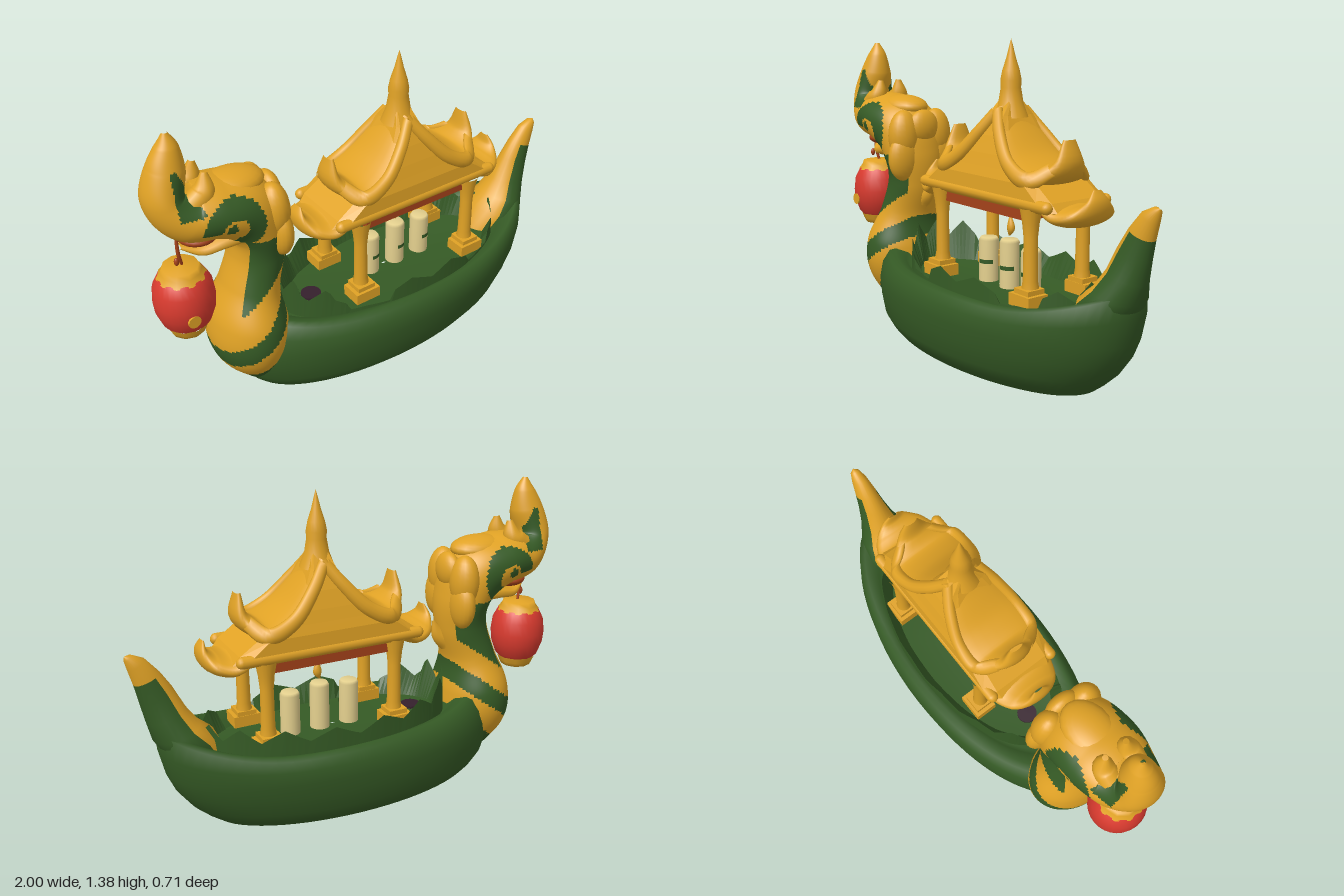
import * as THREE from 'three';

const mat = (name, color, side = THREE.FrontSide) => {
  const m = new THREE.MeshStandardMaterial({ color, side });
  m.name = name;
  return m;
};

// Skins a stack of closed rings; pick(x, y, z, i, j) chooses a material index per quad.
function loft(rings, pick = () => 0) {
  const n = rings[0].length, lists = [[], []];
  for (let i = 0; i < rings.length - 1; i++) {
    for (let j = 0; j < n; j++) {
      const k = (j + 1) % n, a = i * n + j, b = i * n + k, c = b + n, d = a + n;
      const p = rings[i][j], q = rings[i + 1][k];
      const m = pick((p[0] + q[0]) / 2, (p[1] + q[1]) / 2, (p[2] + q[2]) / 2, i, j);
      lists[m].push(a, d, b, d, c, b);
    }
  }
  const g = new THREE.BufferGeometry();
  g.setAttribute('position', new THREE.Float32BufferAttribute(rings.flat(2), 3));
  g.setIndex(lists[0].concat(lists[1]));
  g.addGroup(0, lists[0].length, 0);
  g.addGroup(lists[0].length, lists[1].length, 1);
  g.computeVertexNormals();
  return g;
}

// Rings along a curve; each point is [x, y, z, radius in the xy plane, radius in z].
function sweep(pts, steps = 20, sides = 12) {
  const path = new THREE.CatmullRomCurve3(pts.map(p => new THREE.Vector3(p[0], p[1], p[2])));
  const size = new THREE.CatmullRomCurve3(pts.map(p => new THREE.Vector3(p[3], p[4], 0)), false, 'catmullrom');
  const rings = [];
  for (let i = 0; i <= steps; i++) {
    const c = path.getPoint(i / steps), t = path.getTangent(i / steps), r = size.getPoint(i / steps);
    const l = Math.hypot(t.x, t.y) || 1, nx = t.y / l, ny = -t.x / l;
    const ring = [];
    for (let j = 0; j < sides; j++) {
      const a = (j / sides) * Math.PI * 2, u = Math.max(r.x, 0.003) * Math.cos(a);
      ring.push([c.x + nx * u, c.y + ny * u, c.z + Math.max(r.y, 0.003) * Math.sin(a)]);
    }
    rings.push(ring);
  }
  return rings;
}

export function createModel() {
  const gold = mat('gold', 0xe0a225), green = mat('deep green', 0x355a25);
  const red = mat('lantern red', 0xd83a2e), rust = mat('rust red', 0xa5421a);
  const cream = mat('candle cream', 0xe4d08e), dark = mat('dark plum', 0x35202c);
  const greenLeaf = mat('leaf green', 0x355a25, THREE.DoubleSide);
  const root = new THREE.Group();
  root.name = 'dragonBoat';
  const add = (name, geo, material, x = 0, y = 0, z = 0, parent = root) => {
    const m = new THREE.Mesh(geo, material);
    m.name = name;
    m.position.set(x, y, z);
    parent.add(m);
    return m;
  };
  const ball = (name, material, p, s) => add(name, new THREE.SphereGeometry(1, 20, 14), material, ...p).scale.set(...s);

  // Hull: plan ellipses stacked upward, over the rim and down to the deck: [y, xMin, xMax, halfWidth, lift]
  const slices = [
    [0, 0.03, 0.04, 0.004, 0], [0, -0.57, 0.64, 0.24, 0], [0.012, -0.59, 0.67, 0.265, 0], [0.05, -0.625, 0.72, 0.3, 0],
    [0.1, -0.66, 0.775, 0.33, 0], [0.18, -0.685, 0.835, 0.343, 0], [0.25, -0.69, 0.87, 0.353, 0.1],
    [0.31, -0.67, 0.895, 0.348, 0.5], [0.35, -0.63, 0.9, 0.325, 1], [0.362, -0.59, 0.87, 0.3, 1],
    [0.35, -0.51, 0.77, 0.27, 0.8], [0.33, -0.47, 0.72, 0.25, 0], [0.33, 0.1, 0.12, 0.004, 0]];
  add('hull', loft(slices.map(([y, x0, x1, w, lift]) => Array.from({ length: 64 }, (_, j) => {
    const a = (j / 64) * Math.PI * 2, x = (x0 + x1) / 2 + ((x1 - x0) / 2) * Math.cos(a);
    const rise = 0.1 * Math.max(0, (x - 0.35) / 0.5) ** 2 + 0.05 * Math.max(0, (-x - 0.2) / 0.4) ** 2;
    return [x, y + lift * rise, w * Math.sin(a)];
  }))), green);

  // Ragged ring of leaves inside the rim, dipping beside the front columns
  const leafRing = (grow, top) => Array.from({ length: 128 }, (_, j) => {
    const a = (j / 128) * Math.PI * 2, c = Math.cos(a), s = Math.sin(a), x = 0.14 + 0.56 * c;
    const saw = 1 - Math.abs(((j % 8) - 3) / 4.5);
    const dip = Math.min(Math.abs(x + 0.13), Math.abs(x - 0.47)) < 0.09;
    let h = s > 0.3 ? (dip ? 0.01 : 0.08) : 0.085 + 0.03 * Math.abs(c);
    if (c < -0.75) h += 0.03;
    return [x + grow * c, top ? 0.355 + h * (0.5 + 0.6 * saw) : 0.32, (0.265 + grow) * s];
  });
  add('leafRing', loft([leafRing(0.02, false), leafRing(0.015, true), leafRing(-0.03, false)]).toNonIndexed(), greenLeaf)
    .geometry.computeVertexNormals();
  add('bowCushion', new THREE.CylinderGeometry(0.045, 0.045, 0.01, 24), dark, -0.29, 0.338, 0);

  // Stern tail: [inner x, inner y, outer x, outer y, halfWidth]; gold inner face and tip
  const tail = [[0.6, 0.3, 0.78, 0.26, 0.1], [0.66, 0.43, 0.875, 0.36, 0.14], [0.72, 0.48, 0.915, 0.43, 0.115],
    [0.77, 0.55, 0.935, 0.51, 0.08], [0.82, 0.65, 0.955, 0.6, 0.058], [0.865, 0.72, 0.972, 0.68, 0.046],
    [0.92, 0.785, 0.99, 0.745, 0.034], [0.97, 0.808, 1.0, 0.785, 0.02], [0.994, 0.806, 0.998, 0.802, 0.003]];
  add('sternTail', loft(tail.map(([ix, iy, ox, oy, w]) => Array.from({ length: 24 }, (_, j) => {
    const a = (j / 24) * Math.PI * 2, k = (1 + Math.cos(a)) / 2;
    return [ix + (ox - ix) * k, iy + (oy - iy) * k, w * Math.sin(a)];
  })), (x, y, z, i, j) => (i >= 5 || Math.cos(((j + 0.5) / 24) * Math.PI * 2) < -0.5 ? 1 : 0)), [green, gold]);

  // Dragon neck, head and curled crest in one sweep with painted bands and swirls
  const dragon = [[-0.58, 0.1, 0, 0.08, 0.11], [-0.61, 0.26, 0, 0.16, 0.2], [-0.61, 0.4, 0, 0.16, 0.21],
    [-0.585, 0.55, 0, 0.12, 0.15], [-0.545, 0.7, 0, 0.115, 0.13], [-0.545, 0.82, 0, 0.12, 0.15],
    [-0.6, 0.93, 0, 0.14, 0.165], [-0.72, 0.98, 0, 0.12, 0.17], [-0.84, 1.0, 0, 0.11, 0.145],
    [-0.905, 1.08, 0, 0.082, 0.105], [-0.88, 1.2, 0, 0.074, 0.072], [-0.865, 1.285, 0, 0.045, 0.042],
    [-0.865, 1.34, 0, 0.01, 0.01]];
  const paint = (x, y, z, i, j) => {
    const u = y - 0.75 * (x + 0.6), side = Math.abs(Math.sin(((j + 0.5) / 64) * Math.PI * 2));
    if (u < 0.2 || (u > 0.34 && u < 0.44 && y < 0.6)) return 1;
    if (u > 0.56 && y < 0.83 && x > -0.72) return side > 0.7 ? 1 : 0;
    if (y > 1.03 && y < 1.21 && x < -0.78) {
      return Math.abs(x + 0.88 - (1.2 - y) * 0.2) < 0.012 + 0.22 * (1.21 - y) && side > 0.5 ? 1 : 0;
    }
    const d = Math.hypot(x + 0.7, y - 0.935);
    const open = y < 0.945 && x < -0.68;
    return side > 0.4 && ((d > 0.055 && d < 0.13 && !open) || Math.hypot(x + 0.715, y - 0.95) < 0.022) ? 1 : 0;
  };
  add('dragonNeckAndHead', loft(sweep(dragon, 200, 64), paint), [gold, green]);

  // Mouth, jaw, brows, mane and back fins
  ball('mouth', rust, [-0.79, 0.88, 0], [0.085, 0.035, 0.09]);
  add('lowerJaw', loft(sweep([[-0.62, 0.84, 0, 0.05, 0.1], [-0.72, 0.83, 0, 0.035, 0.09],
    [-0.8, 0.82, 0, 0.025, 0.07], [-0.87, 0.845, 0, 0.008, 0.02]])), gold);
  for (const s of [1, -1]) {
    ball('mane', gold, [-0.5, 0.92, s * 0.09], [0.065, 0.12, 0.075]);
    ball('maneLower', gold, [-0.485, 0.82, s * 0.1], [0.05, 0.11, 0.08]);
    add('brow', loft(sweep([[-0.83, 1.04, s * 0.06, 0.05, 0.05], [-0.77, 1.09, s * 0.06, 0.045, 0.045],
      [-0.755, 1.165, s * 0.05, 0.012, 0.012]])), gold);
  }
  ball('headRidge', gold, [-0.63, 1.045, 0], [0.14, 0.055, 0.1]);
  add('backFin', loft(sweep([[-0.48, 0.62, 0, 0.05, 0.04], [-0.43, 0.66, 0, 0.035, 0.025], [-0.4, 0.73, 0, 0.004, 0.004]])), gold);
  ball('napeFin', gold, [-0.47, 0.96, 0], [0.045, 0.08, 0.08]);

  // Lantern hanging from the jaw
  const lantern = new THREE.Group();
  lantern.name = 'lantern';
  lantern.position.x = -0.875;
  root.add(lantern);
  const lathe = (pts, n = 28) => new THREE.LatheGeometry(pts.map(p => new THREE.Vector2(...p)), n);
  add('lanternBody', lathe([[0.07, 0.47], [0.1, 0.5], [0.121, 0.56], [0.125, 0.61], [0.118, 0.67], [0.095, 0.715], [0.07, 0.735]]), red, 0, 0, 0, lantern);
  add('lanternTop', lathe([[0.1, 0.712], [0.082, 0.735], [0.074, 0.757], [0, 0.762]], 10), gold, 0, 0, 0, lantern);
  add('lanternBase', lathe([[0, 0.437], [0.07, 0.44], [0.08, 0.46], [0.09, 0.486]], 10), gold, 0, 0, 0, lantern);
  const dot = add('lanternDot', new THREE.CylinderGeometry(0.027, 0.027, 0.009, 16), gold, -0.02, 0.565, 0.121, lantern);
  dot.rotation.x = Math.PI / 2;
  add('lanternString', loft(sweep([[-0.865, 0.75, 0, 0.006, 0.006], [-0.88, 0.82, 0.01, 0.008, 0.008],
    [-0.875, 0.93, 0, 0.006, 0.006]], 12, 6)), rust);
  ball('tassel', rust, [-0.895, 0.795, 0.02], [0.01, 0.018, 0.01]);

  // Pavilion, centred on its own axis
  const pavilion = new THREE.Group();
  pavilion.name = 'pavilion';
  pavilion.position.x = 0.175;
  root.add(pavilion);

  // Roof body: [y, half length, half depth]
  const roof = [[0.725, 0.01, 0.01], [0.725, 0.4, 0.15], [0.735, 0.43, 0.165], [0.77, 0.4, 0.172], [0.83, 0.31, 0.168],
    [0.87, 0.24, 0.155], [0.92, 0.165, 0.14], [0.99, 0.095, 0.115], [1.07, 0.055, 0.08], [1.13, 0.035, 0.035]];
  const corners = [[1, -0.75], [1, 0.75], [0.9, 1], [-0.9, 1], [-1, 0.75], [-1, -0.75], [-0.9, -1], [0.9, -1]];
  const roofGeo = loft(roof.map(([y, hx, hz]) => corners.map(([cx, cz]) => [cx * hx, y, cz * hz]))).toNonIndexed();
  roofGeo.computeVertexNormals();
  roofGeo.clearGroups();
  add('roof', roofGeo, gold, 0, 0, 0, pavilion);
  add('ceiling', new THREE.BoxGeometry(0.53, 0.05, 0.29), rust, 0, 0.708, 0, pavilion);
  add('finial', lathe([[0.075, 1.06], [0.052, 1.12], [0.042, 1.18], [0.044, 1.21], [0.036, 1.25], [0.02, 1.3], [0.009, 1.345], [0, 1.378]], 20), gold, 0, 0, 0, pavilion);

  for (const sx of [1, -1]) {
    // Broad curved slope and eave, each narrowing to one upturned horn
    add('upperSlope', loft(sweep([[0, 1.1, 0, 0.025, 0.07], [sx * 0.07, 1.0, 0, 0.026, 0.115],
      [sx * 0.17, 0.895, 0, 0.028, 0.155], [sx * 0.28, 0.845, 0, 0.034, 0.165],
      [sx * 0.35, 0.895, 0, 0.034, 0.085], [sx * 0.355, 1.0, 0, 0.012, 0.03]], 28, 20)), gold, 0, 0, 0, pavilion);
    add('lowerEave', loft(sweep([[sx * 0.3, 0.8, 0, 0.03, 0.165], [sx * 0.41, 0.715, 0, 0.042, 0.155],
      [sx * 0.485, 0.73, 0, 0.04, 0.12], [sx * 0.515, 0.775, 0, 0.022, 0.065],
      [sx * 0.51, 0.825, 0, 0.005, 0.02]], 24, 20)), gold, 0, 0, 0, pavilion);
    for (const sz of [1, -1]) {
      // Gable boards following the slope and merging into the horn
      add('gableBoard', loft(sweep([[0, 1.09, sz * 0.07, 0.025, 0.025], [sx * 0.07, 0.995, sz * 0.115, 0.028, 0.026],
        [sx * 0.17, 0.89, sz * 0.15, 0.032, 0.026], [sx * 0.28, 0.842, sz * 0.145, 0.036, 0.03],
        [sx * 0.345, 0.89, sz * 0.07, 0.03, 0.025]], 28)), gold, 0, 0, 0, pavilion);
      // Columns with square feet
      add('column', lathe([[0.038, 0.4], [0.03, 0.45], [0.028, 0.62], [0.034, 0.68], [0.045, 0.74]], 16), gold, sx * 0.295, 0, sz * 0.14, pavilion);
      add('columnFoot', new THREE.BoxGeometry(0.12, 0.05, 0.1), gold, sx * 0.295, 0.375, sz * 0.15, pavilion);
      add('columnCollar', new THREE.BoxGeometry(0.085, 0.03, 0.085), gold, sx * 0.295, 0.405, sz * 0.145, pavilion);
    }
    // Rolled front and back eave edges
    const eave = add('eaveEdge', new THREE.CapsuleGeometry(0.025, 0.8, 6, 12), gold, 0, 0.755, sx * 0.155, pavilion);
    eave.rotation.z = Math.PI / 2;
  }

  // Candles with small painted marks, and the flame above the middle one
  [[0.03, 0.525], [0.172, 0.54], [0.312, 0.523]].forEach(([x, top]) => {
    add('candle', lathe([[0.043, 0.32], [0.043, top - 0.012], [0.036, top], [0, top]], 20), cream, x, 0, 0);
    add('candleMark', new THREE.CylinderGeometry(0.0445, 0.0445, 0.018, 12, 1, true, -0.3, 1.6), greenLeaf, x, 0.42, 0);
  });
  add('flame', loft(sweep([[0.17, 0.555, 0, 0.004, 0.004], [0.18, 0.59, 0, 0.02, 0.015], [0.175, 0.645, 0, 0.003, 0.003]], 12, 8)), gold);
  return root;
}
